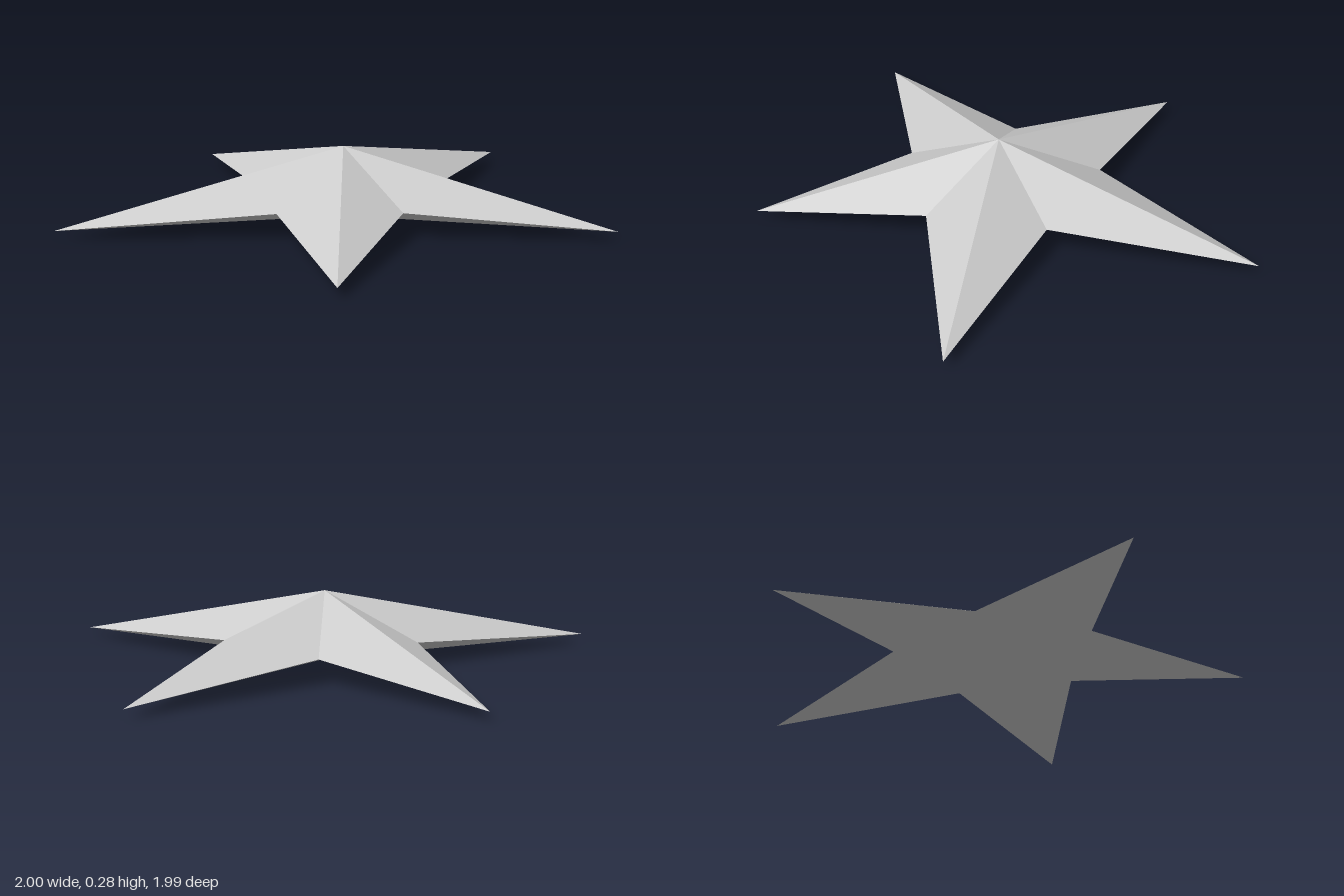
import * as THREE from 'three';

// Fan of flat facets from a centre point to the star outline
function facetFan(centre, rim, up) {
  const points = [];
  rim.forEach((a, i) => {
    const b = rim[(i + 1) % rim.length];
    points.push(...centre, ...(up ? [...b, ...a] : [...a, ...b]));
  });
  const geometry = new THREE.BufferGeometry();
  geometry.setAttribute('position', new THREE.Float32BufferAttribute(points, 3));
  geometry.computeVertexNormals();
  return geometry;
}

export function createModel() {
  const group = new THREE.Group();
  group.name = 'star';
  const grey = new THREE.MeshStandardMaterial({ color: 0xcccccc });
  grey.name = 'light grey';

  // Outline as x, z: slightly uneven tips alternating with regular notches
  const tips = [[-0.02, -1], [0.995, -0.238], [0.545, 0.867], [-0.675, 0.99], [-1, -0.225]];
  const notches = [[0.216, -0.238], [0.347, 0.212], [-0.02, 0.498], [-0.388, 0.212], [-0.259, -0.238]];
  const rim = tips.flatMap(([x, z], i) => [
    [x, 0.038, z],
    [notches[i][0], 0.102, notches[i][1]],
  ]);

  // Raised upper half and shallow underside
  const top = new THREE.Mesh(facetFan([-0.02, 0.28, 0.093], rim, true), grey);
  top.name = 'upperFacets';
  const bottom = new THREE.Mesh(facetFan([-0.02, 0, 0.093], rim, false), grey);
  bottom.name = 'lowerFacets';
  group.add(top, bottom);
  return group;
}
